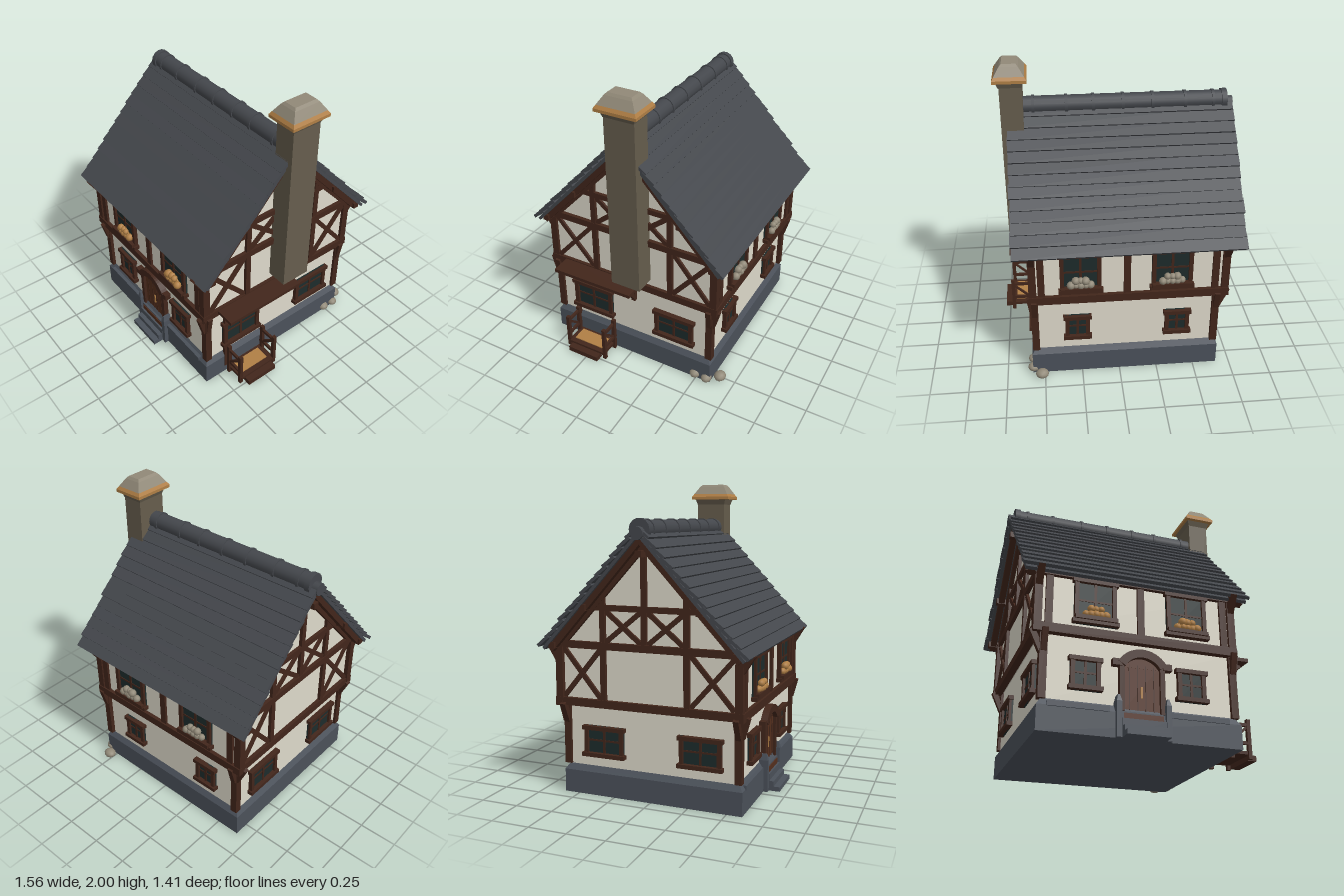
import * as THREE from 'three';

const mat = (name, color, extra = {}) => Object.assign(new THREE.MeshStandardMaterial({ color, ...extra }), { name });
const M = {
  plaster: mat('plaster', 0xdedacb),
  timber: mat('timber', 0x42261b),
  slate: mat('slate', 0x44474c),
  stone: mat('stone', 0x4b515a),
  chimney: mat('chimneyStone', 0x665d4d),
  pale: mat('paleStone', 0x918978),
  ochre: mat('ochre', 0xb07f45),
  glass: mat('glass', 0x1d2b2b),
  door: mat('doorWood', 0x552f1d),
};

function add(parent, name, geo, material, x = 0, y = 0, z = 0) {
  const m = new THREE.Mesh(geo, material);
  m.name = name;
  m.position.set(x, y, z);
  parent.add(m);
  return m;
}
// Box given by its min and max corners
function block(parent, name, material, x0, x1, y0, y1, z0, z1) {
  return add(parent, name, new THREE.BoxGeometry(x1 - x0, y1 - y0, z1 - z0), material,
    (x0 + x1) / 2, (y0 + y1) / 2, (z0 + z1) / 2);
}
// Block whose top or bottom is drawn in by an inset
function taper(parent, name, material, x0, x1, y0, y1, z0, z1, inset, atTop = true) {
  const m = block(parent, name, material, x0, x1, y0, y1, z0, z1);
  const p = m.geometry.attributes.position;
  for (let i = 0; i < p.count; i++) {
    if ((p.getY(i) > 0) !== atTop) continue;
    p.setX(i, p.getX(i) - Math.sign(p.getX(i)) * inset);
    p.setZ(i, p.getZ(i) - Math.sign(p.getZ(i)) * inset);
  }
  m.geometry = m.geometry.toNonIndexed();
  m.geometry.computeVertexNormals();
  return m;
}
// Straight timber between two points
function beam(parent, name, a, b, w = 0.035, d = w) {
  const A = new THREE.Vector3(...a), B = new THREE.Vector3(...b), dir = B.clone().sub(A);
  const m = add(parent, name, new THREE.BoxGeometry(w, dir.length(), d), M.timber);
  m.position.copy(A).add(B).multiplyScalar(0.5);
  m.quaternion.setFromUnitVectors(new THREE.Vector3(0, 1, 0), dir.normalize());
  return m;
}
let seed = 7;
const rand = () => (seed = (seed * 16807) % 2147483647) / 2147483647;

// Window facing local +z, centred on its opening
function makeWindow(parent, name, w, h, x, y, z, turn, flowers) {
  const g = new THREE.Group();
  g.name = name;
  const hw = w / 2, hh = h / 2, f = 0.026;
  block(g, 'pane', M.glass, -hw, hw, -hh, hh, -0.01, 0.006);
  for (const s of [-1, 1]) block(g, 'jamb', M.timber, s * (hw - f / 2) - f / 2, s * (hw - f / 2) + f / 2, -hh, hh, -0.01, 0.022);
  block(g, 'lintel', M.timber, -hw - 0.012, hw + 0.012, hh - f, hh, -0.01, 0.03);
  block(g, 'sill', M.timber, -hw - 0.012, hw + 0.012, -hh, -hh + f, -0.01, 0.034);
  block(g, 'mullion', M.timber, -0.008, 0.008, -hh, hh, -0.005, 0.012);
  block(g, 'glazingBar', M.timber, -hw, hw, 0, 0.012, -0.005, 0.01);
  if (flowers) {
    block(g, 'flowerShelf', M.timber, -hw, hw, -hh + 0.02, -hh + 0.045, 0, 0.045);
    for (let i = 0; i < 8; i++) {
      const b = add(g, 'flower', new THREE.IcosahedronGeometry(0.021 + rand() * 0.007, 1), flowers,
        -0.062 + (i % 5) * 0.031, -hh + (i < 5 ? 0.062 : 0.095), 0.018 + rand() * 0.01);
      if (i > 4) b.position.x += 0.03;
    }
  }
  g.position.set(x, y, z);
  g.rotation.y = turn;
  parent.add(g);
}

const X0 = -0.67, X1 = 0.56, RZ = -0.02;   // upper walls and ridge line

function makeWalls(root) {
  const g = new THREE.Group();
  g.name = 'walls';
  root.add(g);
  block(g, 'stoneBase', M.stone, -0.66, 0.58, 0, 0.15, -0.6, 0.6);
  taper(g, 'baseSlope', M.stone, -0.66, 0.58, 0.15, 0.195, -0.6, 0.6, 0.03);
  block(g, 'baseLedgeLeft', M.stone, -0.6, -0.24, 0.145, 0.175, 0.55, 0.608);
  block(g, 'baseLedgeRight', M.stone, 0.13, 0.5, 0.145, 0.175, 0.55, 0.608);
  block(g, 'lowerWall', M.plaster, -0.635, 0.555, 0.18, 0.6, -0.575, 0.57);
  const s = new THREE.Shape([[0.59, 0.6], [0.59, 0.98], [RZ, 1.63], [-0.61, 0.98], [-0.61, 0.6]].map(p => new THREE.Vector2(...p)));
  const geo = new THREE.ExtrudeGeometry(s, { depth: X1 - X0, bevelEnabled: false });
  geo.rotateY(-Math.PI / 2);
  add(g, 'upperWall', geo, M.plaster, X1);
}

function makeTimbers(root) {
  const g = new THREE.Group();
  g.name = 'timberFrame';
  root.add(g);
  // Floor beams round the house
  for (const z of [-0.61, 0.59]) block(g, 'floorBeam', M.timber, -0.7, 0.58, 0.58, 0.635, z - 0.025, z + 0.025);
  for (const x of [X0, X1]) block(g, 'floorBeam', M.timber, x - 0.025, x + 0.022, 0.585, 0.635, -0.62, 0.61);
  // Corner posts and their braces
  for (const [sx, lx, ux] of [[-1, -0.63, -0.675], [1, 0.55, 0.555]]) {
    for (const [sz, lz, uz] of [[-1, -0.58, -0.605], [1, 0.57, 0.585]]) {
      block(g, 'lowerPost', M.timber, lx - 0.023, lx + 0.023, 0.19, 0.6, lz - 0.023, lz + 0.023);
      block(g, 'upperPost', M.timber, ux - 0.024, ux + 0.024, 0.6, 0.98, uz - 0.024, uz + 0.024);
      beam(g, 'postBrace', [lx + sx * 0.01, 0.47, lz], [ux + sx * 0.025, 0.6, lz], 0.035);
      beam(g, 'postBrace', [lx, 0.47, lz + sz * 0.015], [lx, 0.6, lz + sz * 0.05], 0.035);
      beam(g, 'eaveBrace', [ux, 0.88, uz + sz * 0.01], [ux, 0.985, uz + sz * 0.075], 0.04);
    }
  }
  // Studs on the front and back
  for (const z of [-0.612, 0.592]) {
    for (const x of [-0.61, -0.045, 0.5]) block(g, 'stud', M.timber, x - 0.022, x + 0.022, 0.62, 0.97, z - 0.014, z + 0.014);
    block(g, 'wallPlate', M.timber, -0.7, 0.58, 0.945, 0.99, z - 0.025, z + 0.025);
  }
  // Gable framing
  for (const [x, s] of [[X0, -1], [X1, 1]]) {
    const px = x + s * 0.005, bx = x + s * 0.002;
    const line = (name, z0, y0, z1, y1, w = 0.036) => beam(g, name, [px, y0, z0], [px, y1, z1], 0.034, w);
    const cross = (z0, z1, y0, y1) => {
      beam(g, 'crossBrace', [bx, y0, z0], [bx, y1, z1], 0.03, 0.03);
      beam(g, 'crossBrace', [bx, y0, z1], [bx, y1, z0], 0.026, 0.03);
    };
    block(g, 'tieBeam', M.timber, x - 0.025, x + 0.025, 0.955, 1, -0.64, 0.62);
    line('collarBeam', 0.36, 1.215, -0.39, 1.215);
    for (const z of [0.255, -0.3]) line('gableStud', z, 0.62, z, 1.34);
    line('kingPost', RZ, 1, RZ, 1.58);
    cross(0.555, 0.28, 0.64, 0.955);
    cross(-0.32, -0.58, 0.64, 0.955);
    cross(0.24, 0.0, 1, 1.2);
    cross(-0.04, -0.285, 1, 1.2);
    for (const [ez, k] of [[0.63, 1], [-0.665, -1]]) {
      const rx = x + s * 0.055;
      beam(g, 'bargeBoard', [rx, 0.95, ez - k * 0.02], [rx, 1.645, RZ], 0.04, 0.055);
      beam(g, 'rafter', [px, 0.965, ez - k * 0.06], [px, 1.60, RZ], 0.04, 0.05);
    }
    for (const y of [0.975, 1.22, 1.55]) {
      const r = y > 1.5 ? [RZ] : y > 1.1 ? [0.36, -0.4] : [0.585, -0.62];
      for (const z of r) block(g, 'purlinEnd', M.timber, Math.min(x, x + s * 0.09), Math.max(x, x + s * 0.09), y - 0.02, y + 0.02, z - 0.02, z + 0.02);
    }
  }
}

function makeRoof(root) {
  const g = new THREE.Group();
  g.name = 'roof';
  root.add(g);
  const rows = 13, top = 1.69, bottom = 0.965;
  for (const [s, run] of [[1, 0.665], [-1, 0.665]]) {
    const drop = top - bottom, len = Math.hypot(run, drop), angle = Math.atan2(drop, run);
    const deck = add(g, 'roofDeck', new THREE.BoxGeometry(1.42, 0.02, len), M.slate, -0.055,
      (top + bottom) / 2 - 0.012, RZ + s * (run / 2 - 0.01));
    deck.rotation.x = s * angle;
    for (let i = 0; i < rows; i++) {
      const t = (i + 0.5) / rows, w = 1.44 + rand() * 0.012;
      const row = add(g, 'slateRow', new THREE.BoxGeometry(w, 0.02, len / rows * 1.3), M.slate,
        -0.055 + (rand() - 0.5) * 0.008, top - drop * t + 0.008, RZ + s * (run * t + 0.008));
      row.rotation.set(s * (angle - 0.13 - rand() * 0.05), 0, (rand() - 0.5) * 0.01);
    }
  }
  // Rounded ridge tiles with raised joints
  const tube = (name, r, x0, x1, y) => {
    const geo = new THREE.CylinderGeometry(r, r, x1 - x0, 14).rotateZ(Math.PI / 2);
    add(g, name, geo, M.slate, (x0 + x1) / 2, y, RZ);
  };
  tube('ridge', 0.058, -0.74, 0.58, 1.692);
  tube('ridgeEnd', 0.04, -0.78, -0.73, 1.67);
  tube('ridgeCollar', 0.067, -0.74, -0.705, 1.692);
  for (const x of [-0.65, -0.47, -0.26, -0.07, 0.12, 0.29, 0.5]) tube('ridgeJoint', 0.065, x - 0.009, x + 0.009, 1.692);
}

function makeChimney(root) {
  const g = new THREE.Group();
  g.name = 'chimney';
  root.add(g);
  block(g, 'stack', M.chimney, 0.56, 0.7, 0.68, 1.88, -0.15, 0.055);
  taper(g, 'stackFoot', M.chimney, 0.56, 0.7, 0.635, 0.68, -0.15, 0.055, 0.045, false);
  taper(g, 'neck', M.chimney, 0.545, 0.72, 1.855, 1.9, -0.165, 0.07, 0.015, false);
  block(g, 'capRim', M.ochre, 0.528, 0.738, 1.893, 1.912, -0.185, 0.095);
  taper(g, 'capLower', M.ochre, 0.528, 0.738, 1.912, 1.932, -0.185, 0.095, 0.013);
  taper(g, 'capUpper', M.pale, 0.541, 0.725, 1.932, 1.985, -0.172, 0.082, 0.034);
  taper(g, 'capTop', M.pale, 0.575, 0.691, 1.985, 2, -0.138, 0.048, 0.014);
}

function makeEntrance(root) {
  const g = new THREE.Group();
  g.name = 'entrance';
  root.add(g);
  const cx = -0.04;
  block(g, 'door', M.door, cx - 0.12, cx + 0.12, 0.16, 0.46, 0.56, 0.582);
  for (let i = 0; i < 4; i++) block(g, 'doorGroove', M.timber, cx - 0.078 + i * 0.05, cx - 0.073 + i * 0.05, 0.17, 0.45, 0.58, 0.585);
  block(g, 'doorHandle', M.ochre, cx - 0.006, cx + 0.006, 0.25, 0.32, 0.58, 0.588);
  for (const s of [-1, 1]) {
    const px = cx + s * 0.125, qx = cx + s * 0.15;
    block(g, 'doorPost', M.timber, px - 0.015, px + 0.015, 0.16, 0.45, 0.56, 0.603);
    block(g, 'hoodFoot', M.timber, cx + s * 0.155 - 0.028, cx + s * 0.155 + 0.028, 0.43, 0.47, 0.56, 0.612);
    block(g, 'stepCheek', M.stone, qx - 0.016, qx + 0.016, 0, 0.21, 0.55, 0.628);
    taper(g, 'cheekTop', M.stone, qx - 0.016, qx + 0.016, 0.21, 0.25, 0.55, 0.628, 0.01);
  }
  // Arched hood over the door
  const arch = new THREE.Shape();
  arch.absarc(0, 0, 0.175, Math.PI * 0.17, Math.PI * 0.83, false);
  arch.absarc(0, 0, 0.125, Math.PI * 0.83, Math.PI * 0.17, true);
  add(g, 'hood', new THREE.ExtrudeGeometry(arch, { depth: 0.055, bevelEnabled: false, curveSegments: 10 }), M.timber, cx, 0.367, 0.56);
  const fill = new THREE.Shape();
  fill.absarc(0, 0, 0.13, Math.PI * 0.17, Math.PI * 0.83, false);
  add(g, 'doorHead', new THREE.ExtrudeGeometry(fill, { depth: 0.02, bevelEnabled: false }), M.door, cx, 0.367, 0.563);
  [[0.03, 0.7], [0.065, 0.66], [0.11, 0.63], [0.155, 0.612]].forEach(([h, z]) => block(g, 'step', M.stone, cx - 0.132, cx + 0.132, 0, h, 0.5, z));
  block(g, 'threshold', M.door, cx - 0.12, cx + 0.12, 0.07, 0.145, 0.6, 0.618);
}

function makePorch(root) {
  const g = new THREE.Group();
  g.name = 'sidePorch';
  root.add(g);
  block(g, 'porchDeck', M.timber, 0.57, 0.735, 0.03, 0.05, 0.13, 0.42);
  block(g, 'porchMat', M.ochre, 0.6, 0.7, 0.05, 0.056, 0.17, 0.39);
  block(g, 'porchStep', M.timber, 0.72, 0.78, 0, 0.035, 0.16, 0.39);
  for (const z of [0.13, 0.42]) {
    for (const x of [0.6, 0.72]) block(g, 'railPost', M.timber, x - 0.012, x + 0.012, 0, 0.25, z - 0.012, z + 0.012);
    for (const y of [0.1, 0.215]) block(g, 'rail', M.timber, 0.58, 0.73, y - 0.01, y + 0.01, z - 0.008, z + 0.008);
    beam(g, 'railBrace', [0.6, 0.1, z], [0.72, 0.21, z], 0.014);
  }
  block(g, 'tallPost', M.timber, 0.56, 0.582, 0.05, 0.58, 0.42, 0.445);
  // Lean-to board on brackets
  block(g, 'canopy', M.timber, 0.56, 0.715, 0.605, 0.628, -0.08, 0.5);
  for (const z of [0.42, 0.285, -0.025]) {
    block(g, 'bracketPost', M.timber, 0.555, 0.58, 0.47, 0.6, z - 0.014, z + 0.014);
    beam(g, 'bracketArm', [0.57, 0.49, z], [0.62, 0.56, z], 0.026);
    beam(g, 'bracketArm', [0.615, 0.555, z], [0.69, 0.605, z], 0.026);
  }
}

export function createModel() {
  const root = new THREE.Group();
  root.name = 'timberHouse';
  makeWalls(root);
  makeTimbers(root);
  makeRoof(root);
  makeChimney(root);
  makeEntrance(root);
  makePorch(root);
  const H = Math.PI / 2;
  // Front and back windows
  for (const x of [-0.33, 0.25]) {
    makeWindow(root, 'upperFrontWindow', 0.26, 0.29, x, 0.805, 0.595, 0, M.ochre);
    makeWindow(root, 'upperBackWindow', 0.26, 0.29, x, 0.805, -0.615, Math.PI, M.pale);
  }
  for (const x of [-0.38, 0.275]) {
    makeWindow(root, 'lowerFrontWindow', 0.18, 0.2, x, 0.36, 0.575, 0);
    makeWindow(root, 'lowerBackWindow', 0.16, 0.18, x, 0.36, -0.58, Math.PI);
  }
  // Side windows
  makeWindow(root, 'rightWindow', 0.3, 0.22, 0.56, 0.36, 0.3, H);
  makeWindow(root, 'rightWindow', 0.28, 0.2, 0.56, 0.355, -0.325, H);
  for (const z of [-0.32, 0.33]) makeWindow(root, 'leftWindow', 0.27, 0.2, -0.64, 0.355, z, -H);
  // Loose stones by the back right corner
  for (const [x, z, r] of [[0.57, -0.49, 0.038], [0.575, -0.575, 0.036], [0.52, -0.65, 0.04]]) {
    const s = add(root, 'looseStone', new THREE.IcosahedronGeometry(r, 1), M.pale, x, r * 0.8, z);
    s.scale.set(1.1, 0.8, 1);
  }
  return root;
}
